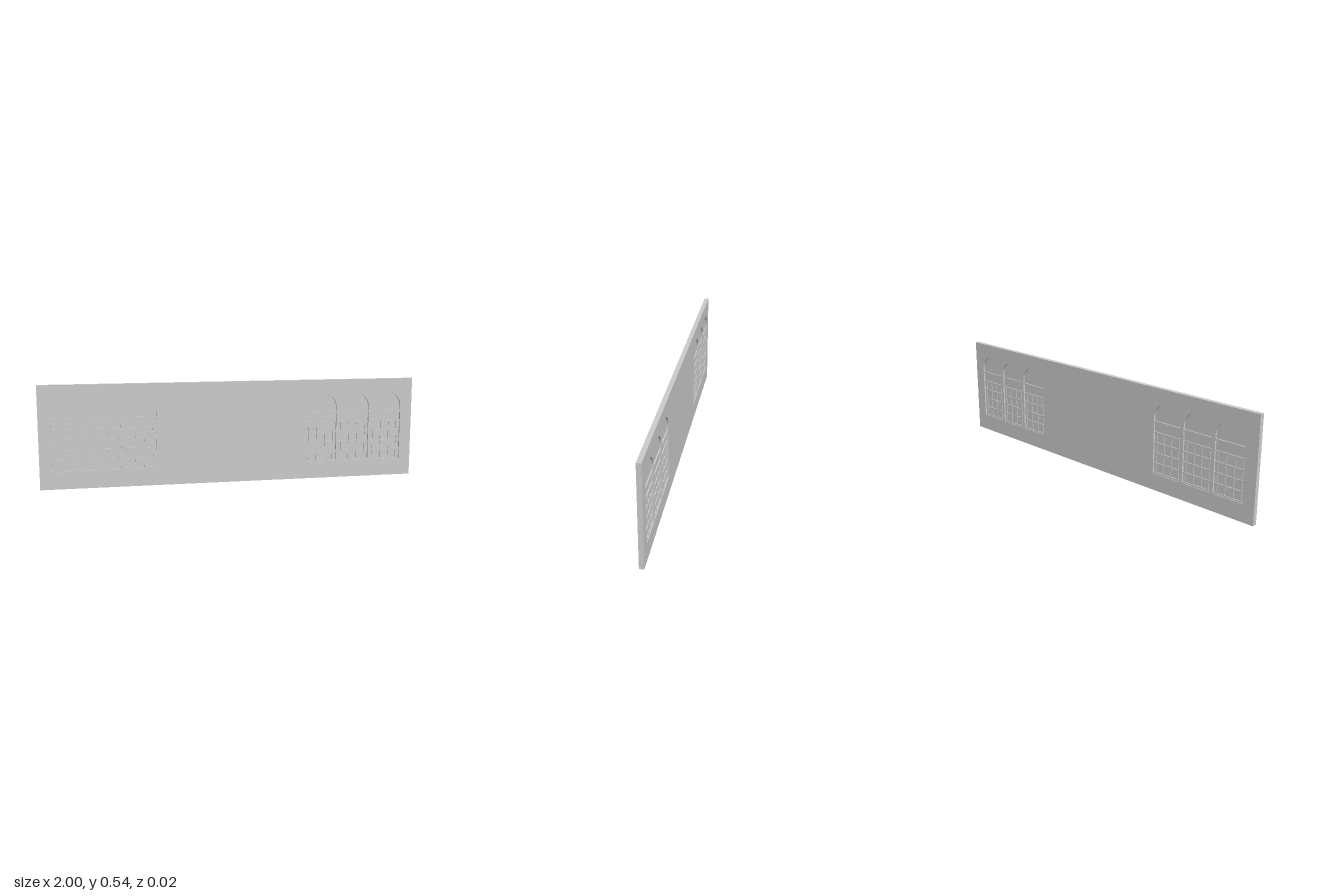
import * as THREE from 'three';

const W = 2, H = 0.535, D = 0.024;
const HALF = 0.083, SILL = 0.09, SPRING = 0.382;
const CENTRES = [-0.853, -0.67, -0.487, 0.487, 0.67, 0.853];

// Round-headed window outline, usable as shape or hole
function archOutline(path, cx) {
  path.moveTo(cx - HALF, SILL);
  path.lineTo(cx + HALF, SILL);
  path.lineTo(cx + HALF, SPRING);
  path.absarc(cx, SPRING, HALF, 0, Math.PI, false);
  path.lineTo(cx - HALF, SILL);
  return path;
}

function extrude(shape, depth) {
  const g = new THREE.ExtrudeGeometry(shape, { depth, bevelEnabled: false, curveSegments: 16 });
  return g.translate(0, 0, -depth / 2);
}

export function createModel() {
  const model = new THREE.Group();
  const material = new THREE.MeshStandardMaterial({ color: 0xcccccc });
  const add = (parent, name, geometry, x = 0, y = 0) => {
    const mesh = new THREE.Mesh(geometry, material);
    mesh.name = name;
    mesh.position.set(x, y, 0);
    parent.add(mesh);
  };

  // Wall slab with six arched openings
  const wall = new THREE.Shape();
  wall.moveTo(-W / 2, 0);
  wall.lineTo(W / 2, 0);
  wall.lineTo(W / 2, H);
  wall.lineTo(-W / 2, H);
  wall.closePath();
  for (const cx of CENTRES) wall.holes.push(archOutline(new THREE.Path(), cx));
  add(model, 'wall', extrude(wall, D));

  // Each window: recessed pane, transom and glazing bars on both faces
  const pane = extrude(archOutline(new THREE.Shape(), 0), 0.005);
  const gridTop = 0.305, rows = 4, rowStep = (gridTop - SILL) / rows;
  for (const cx of CENTRES) {
    const win = new THREE.Group();
    win.name = 'window';
    win.position.x = cx;
    add(win, 'pane', pane);
    add(win, 'transom', new THREE.BoxGeometry(HALF * 2, 0.01, 0.018), 0, 0.36);
    for (let i = 0; i <= rows; i++) {
      const y = SILL + i * rowStep + (i === 0 ? 0.004 : 0);
      add(win, 'horizontalBar', new THREE.BoxGeometry(HALF * 2, 0.008, 0.016), 0, y);
    }
    for (const x of [-0.068, -0.023, 0.023, 0.068]) {
      add(win, 'verticalBar', new THREE.BoxGeometry(0.008, gridTop - SILL, 0.013), x, (gridTop + SILL) / 2);
    }
    model.add(win);
  }
  return model;
}
